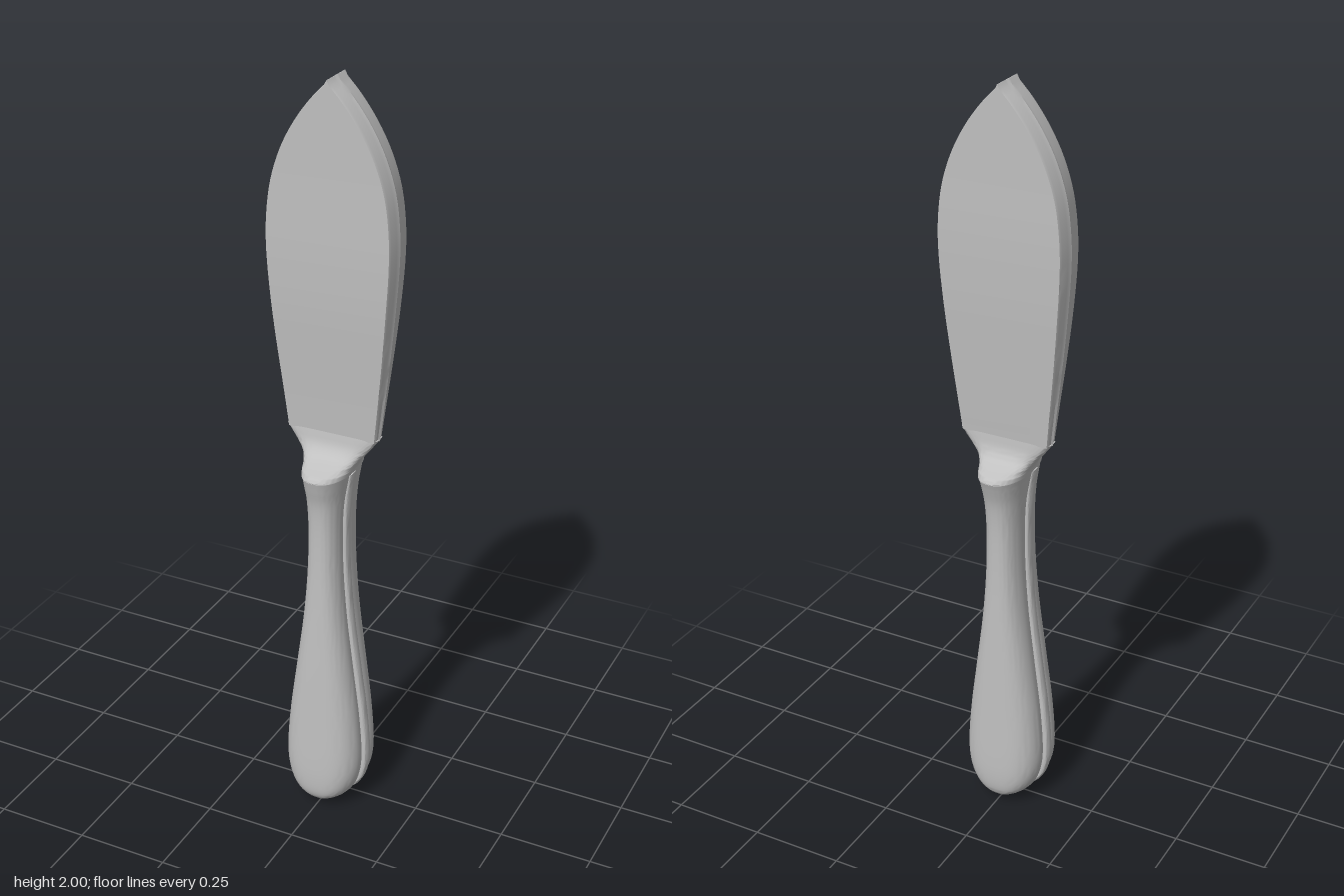
import * as THREE from 'three';
import { toCreasedNormals } from 'three/addons/utils/BufferGeometryUtils.js';

// Smoothly resample control rows (each an array of numbers).
function resample(rows, steps) {
  const size = rows[0].length;
  const times = rows.map((_, i) => i);
  const spline = new THREE.CubicInterpolant(times, rows.flat(), size, new Float32Array(size));
  const out = [];
  const count = (rows.length - 1) * steps;
  for (let i = 0; i <= count; i++) out.push(Array.from(spline.evaluate(i / steps)));
  return out;
}

// Skin closed rings of Vector3 (running from +x toward +z), stacked upward, with end caps.
function loft(rings, crease) {
  const n = rings[0].length;
  const pos = rings.flat().flatMap((p) => [p.x, p.y, p.z]);
  const index = [];
  for (let i = 0; i < rings.length - 1; i++) {
    for (let j = 0; j < n; j++) {
      const k = (j + 1) % n;
      const a = i * n + j, b = i * n + k, c = a + n, d = b + n;
      index.push(a, c, b, b, c, d);
    }
  }
  const last = rings.length - 1;
  const bottom = pos.length / 3, top = bottom + 1;
  for (const r of [rings[0], rings[last]]) {
    const mid = r.reduce((s, p) => s.add(p), new THREE.Vector3()).divideScalar(n);
    pos.push(mid.x, mid.y, mid.z);
  }
  for (let j = 0; j < n; j++) {
    const k = (j + 1) % n;
    index.push(bottom, j, k, top, last * n + k, last * n + j);
  }
  const g = new THREE.BufferGeometry();
  g.setAttribute('position', new THREE.Float32BufferAttribute(pos, 3));
  g.setIndex(index);
  return toCreasedNormals(g, crease);
}

// Superellipse ring, optionally pinched along the seam in the middle of the side.
function ovalRing(y, w, zf, zb, power, pinch) {
  const ring = [];
  const zc = (zf + zb) / 2, d = (zf - zb) / 2;
  for (let j = 0; j < 64; j++) {
    const t = (j / 64) * Math.PI * 2;
    const c = Math.cos(t), s = Math.sin(t);
    const z = zc + d * Math.sign(s) * Math.abs(s) ** (2 / power);
    const groove = 1 - pinch * Math.exp(-(((z - 0.015) / 0.024) ** 2));
    ring.push(new THREE.Vector3(w * groove * Math.sign(c) * Math.abs(c) ** (2 / power), y, z));
  }
  return ring;
}

// Blade ring: flat faces, small bevels and a faint ridge along the edge.
function bladeRing(y, w, zf, zb) {
  const b = Math.min(0.007, w * 0.5);
  const m = (zf + zb) / 2;
  const r = Math.min(0.004, w * 0.3), h = (zf - zb) * 0.12;
  const half = [
    [w - b, zb], [w - r, zb + 0.007], [w - r, m - h], [w, m],
    [w - r, m + h], [w - r, zf - 0.007], [w - b, zf],
  ];
  const other = half.map(([x, z]) => [-x, z]).reverse();
  return [...half, ...other].map(([x, z]) => new THREE.Vector3(x, y, z));
}

export function createModel() {
  const group = new THREE.Group();
  const metal = new THREE.MeshStandardMaterial({ color: 0xc0c0c0 });
  metal.name = 'metal grey';
  const add = (name, geometry) => {
    const mesh = new THREE.Mesh(geometry, metal);
    mesh.name = name;
    group.add(mesh);
  };

  // Handle: y, half width, front z, back z, section power
  const handleRows = [
    [0.014, 0.02, 0.085, -0.06, 2.6],
    [0.022, 0.052, 0.102, -0.076, 2.7],
    [0.045, 0.083, 0.114, -0.087, 2.8],
    [0.09, 0.105, 0.118, -0.092, 2.8],
    [0.16, 0.112, 0.117, -0.092, 2.8],
    [0.28, 0.103, 0.112, -0.089, 2.8],
    [0.42, 0.084, 0.106, -0.086, 2.8],
    [0.58, 0.063, 0.098, -0.082, 2.7],
    [0.72, 0.052, 0.092, -0.08, 2.6],
    [0.84, 0.05, 0.091, -0.082, 2.5],
    [0.92, 0.054, 0.096, -0.09, 2.4],
    [0.97, 0.06, 0.108, -0.104, 2.3],
    [1.0, 0.065, 0.116, -0.115, 2.2],
  ];
  add('handle', loft(resample(handleRows, 4).map(([y, w, zf, zb, p]) =>
    ovalRing(y, w - 0.003, zf, zb, p, 0.12 * THREE.MathUtils.smoothstep(1.0 - y, 0, 0.12))), 0.9));

  // Shoulder sweeping from the handle lip into the blade
  const shoulderRows = [
    [0.998, 0.064, 0.116, -0.115, 2.2],
    [1.008, 0.066, 0.108, -0.108, 2.2],
    [1.02, 0.071, 0.075, -0.08, 2.4],
    [1.036, 0.081, 0.04, -0.05, 3],
    [1.06, 0.1, 0.02, -0.036, 4.5],
    [1.095, 0.125, 0.012, -0.031, 8],
  ];
  add('shoulder', loft(resample(shoulderRows, 4).map((r) => ovalRing(...r, 0)), 0.9));

  // Tang: thin ridge running round the edge of the handle
  const side = resample(handleRows.slice(1), 3).map(([y, w]) => new THREE.Vector2(w + 0.002, y));
  const shape = new THREE.Shape([
    new THREE.Vector2(0, 0), new THREE.Vector2(0.025, 0.005), ...side,
    ...side.map((p) => new THREE.Vector2(-p.x, p.y)).reverse(), new THREE.Vector2(-0.025, 0.005),
  ]);
  const tang = new THREE.ExtrudeGeometry(shape, {
    depth: 0.014, bevelThickness: 0.008, bevelSize: 0.006, bevelOffset: -0.006, bevelSegments: 3,
  });
  tang.translate(0, 0, 0.008);
  add('tang', toCreasedNormals(tang, 0.9));

  // Blade: y, half width, front z, back z
  const bladeRows = [
    [1.09, 0.125, 0.012, -0.031],
    [1.2, 0.137, 0.018, -0.039],
    [1.32, 0.15, 0.026, -0.047],
    [1.44, 0.161, 0.033, -0.055],
    [1.56, 0.169, 0.036, -0.06],
    [1.65, 0.168, 0.036, -0.062],
    [1.74, 0.156, 0.035, -0.062],
    [1.82, 0.13, 0.035, -0.062],
    [1.89, 0.093, 0.035, -0.062],
    [1.95, 0.049, 0.035, -0.062],
    [2.0, 0.001, 0.035, -0.062],
  ];
  add('blade', loft(resample(bladeRows, 4).map((r) => bladeRing(...r)), 0.5));

  return group;
}
